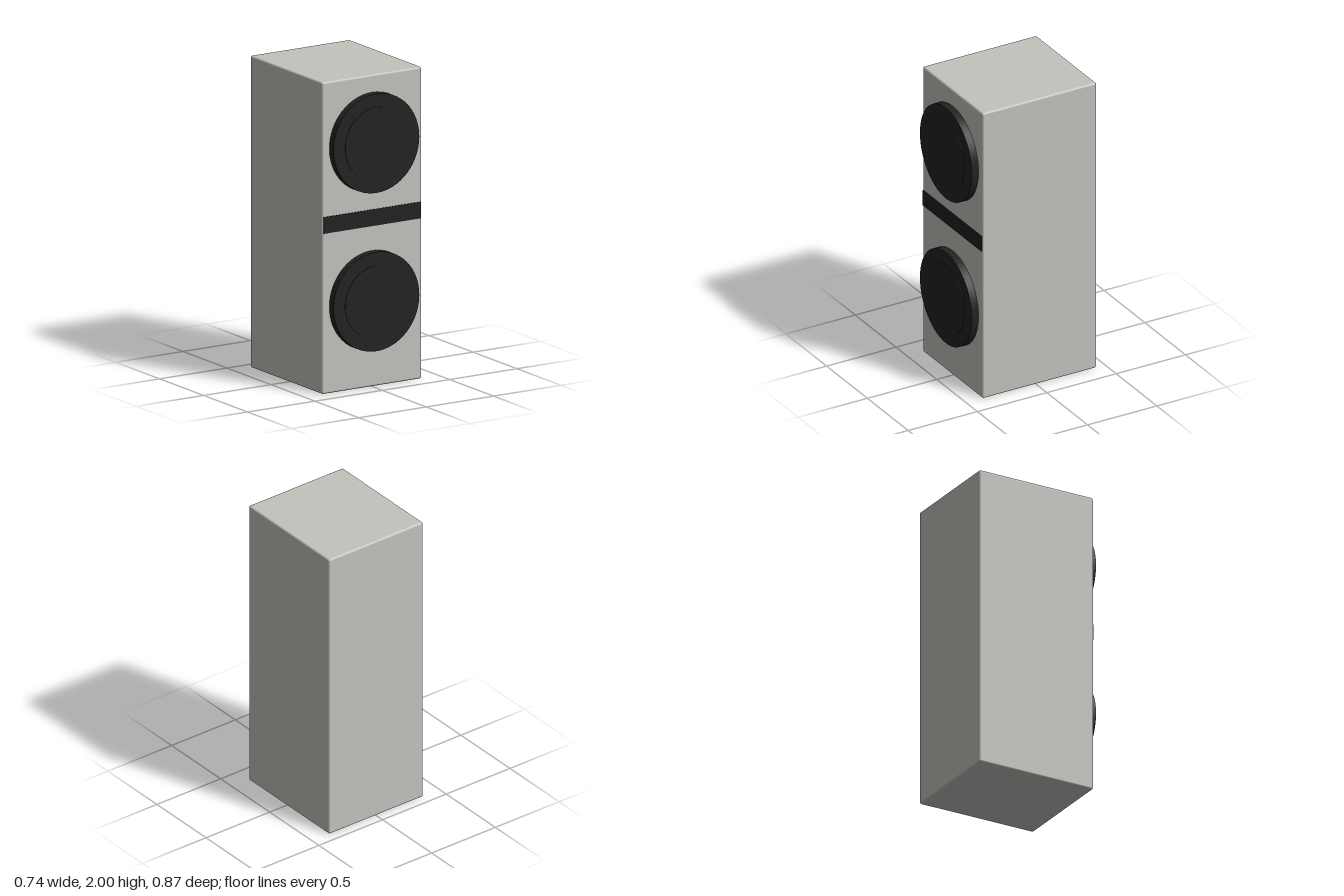
import * as THREE from 'three';
import { RoundedBoxGeometry } from 'three/addons/geometries/RoundedBoxGeometry.js';

const cabinetGrey = new THREE.MeshStandardMaterial({ name: 'cabinetGrey', color: 0xc4c2bd });
const doorBlack = new THREE.MeshStandardMaterial({ name: 'doorBlack', color: 0x222222 });
const panelBlack = new THREE.MeshStandardMaterial({ name: 'panelBlack', color: 0x1f2321 });

const FRONT = 0.385;
const BACK = -0.437;

function addMesh(parent, name, geometry, material, x, y, z) {
  const mesh = new THREE.Mesh(geometry, material);
  mesh.name = name;
  mesh.position.set(x, y, z);
  parent.add(mesh);
  return mesh;
}

// Short cylinder facing forward, from z = 0 to z = depth
function disc(radius, depth) {
  return new THREE.CylinderGeometry(radius, radius, depth, 64)
    .rotateX(Math.PI / 2)
    .translate(0, 0, depth / 2);
}

// Round door: wide rim with a slightly raised centre disc
function roundDoor(name, y) {
  const door = new THREE.Group();
  door.name = name;
  door.position.set(0, y, FRONT);
  addMesh(door, 'doorRim', disc(0.318, 0.049), doorBlack, 0, 0, 0);
  addMesh(door, 'doorCentre', disc(0.233, 0.004), doorBlack, 0, 0, 0.048);
  return door;
}

export function createModel() {
  const model = new THREE.Group();
  model.name = 'stackedUnit';

  // Tall cabinet with small rounded edges
  const cabinet = new RoundedBoxGeometry(0.74, 2, FRONT - BACK, 4, 0.013);
  addMesh(model, 'cabinet', cabinet, cabinetGrey, 0, 1, (FRONT + BACK) / 2);

  // Upper and lower round doors
  model.add(roundDoor('upperDoor', 1.57), roundDoor('lowerDoor', 0.555));

  // Control strip between the doors
  addMesh(model, 'controlPanel', new THREE.BoxGeometry(0.72, 0.106, 0.009), panelBlack, 0, 1.083, FRONT);

  return model;
}
